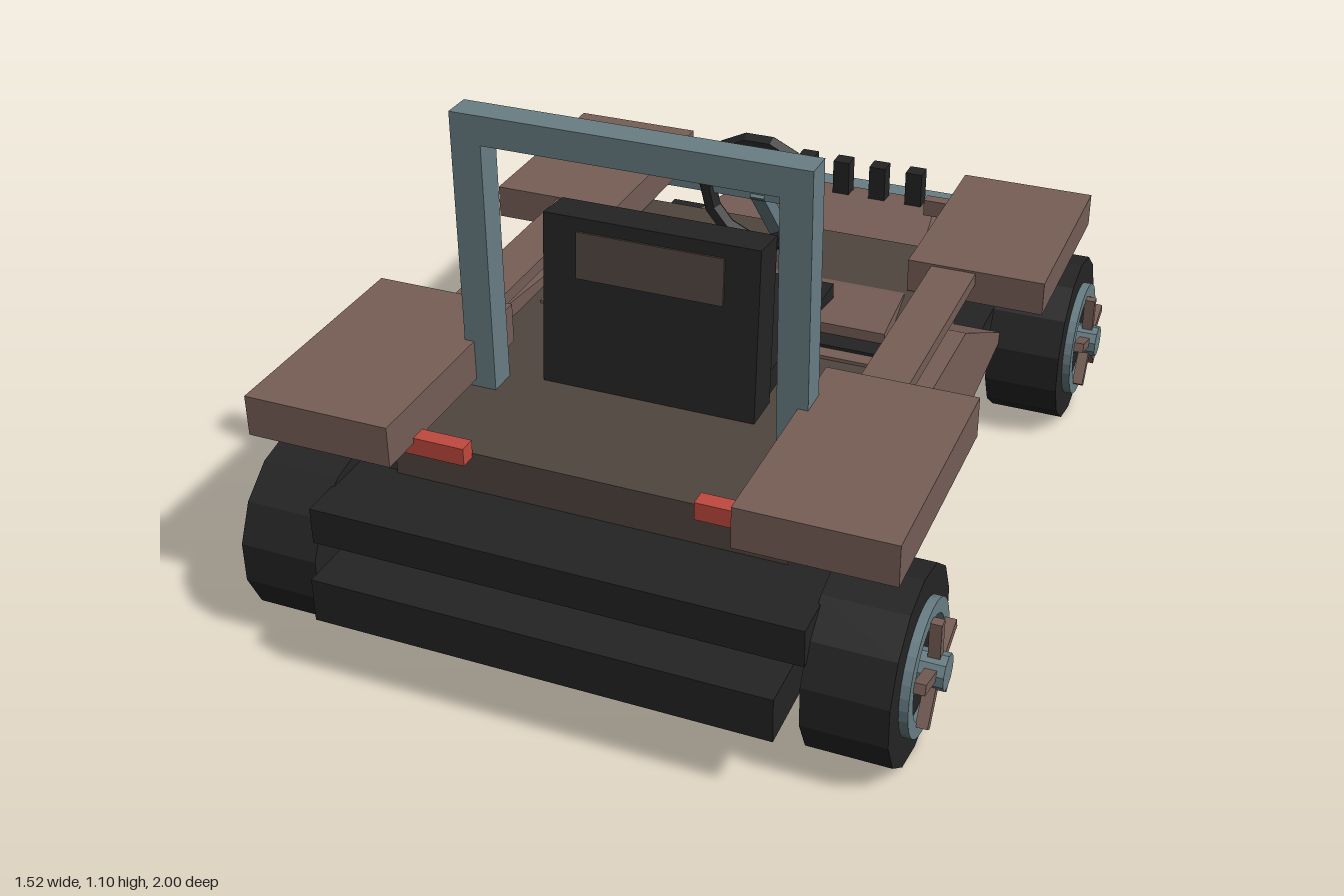
import * as THREE from 'three';

const mat = (name, color) => {
  const m = new THREE.MeshStandardMaterial({ color });
  m.name = name;
  return m;
};

export function createModel() {
  const brown = mat('body brown', 0x765e56);
  const dark = mat('dark brown', 0x50453f);
  const steel = mat('blue steel', 0x687e85);
  const black = mat('black', 0x242424);
  const red = mat('lamp red', 0xc04a3f);
  const model = new THREE.Group();

  const add = (name, geo, material, x = 0, y = 0, z = 0, parent = model) => {
    const m = new THREE.Mesh(geo, material);
    m.name = name;
    m.position.set(x, y, z);
    parent.add(m);
    return m;
  };
  // box given by its min and max on each axis
  const box = (name, material, x0, x1, y0, y1, z0, z1, parent = model) =>
    add(name, new THREE.BoxGeometry(x1 - x0, y1 - y0, z1 - z0), material,
      (x0 + x1) / 2, (y0 + y1) / 2, (z0 + z1) / 2, parent);
  const flat = (geo) => {
    const g = geo.index ? geo.toNonIndexed() : geo;
    g.computeVertexNormals();
    return g;
  };

  // floor, tub and bumpers
  box('chassis', black, -0.495, 0.495, 0.16, 0.26, -0.88, 1);
  box('tub', dark, -0.43, 0.43, 0.26, 0.47, -0.46, 0.75);
  box('rearBumper', black, -0.53, 0.53, 0.295, 0.378, 0.74, 0.93);
  box('frontBumper', steel, -0.53, 0.53, 0.29, 0.357, -1, -0.9);
  box('dashEdge', black, -0.4, 0.4, 0.46, 0.485, 0.04, 0.1);
  box('cockpitSill', brown, -0.4, 0.4, 0.46, 0.478, 0.1, 0.135);

  // hood lofted along z: [z, top y, top half width, bottom y, bottom half width]
  const sections = [
    [-0.965, 0.2, 0.25, 0.19, 0.25],
    [-0.92, 0.37, 0.25, 0.2, 0.25],
    [-0.88, 0.376, 0.255, 0.25, 0.28],
    [-0.46, 0.405, 0.325, 0.25, 0.4],
    [-0.2, 0.475, 0.37, 0.25, 0.42],
    [0.05, 0.51, 0.4, 0.25, 0.425],
  ];
  const n = sections.length - 1;
  const hood = new THREE.BoxGeometry(1, 1, 1, 1, 1, n);
  const hp = hood.attributes.position;
  for (let i = 0; i < hp.count; i++) {
    const [z, yt, ht, yb, hb] = sections[Math.round((hp.getZ(i) + 0.5) * n)];
    const top = hp.getY(i) > 0;
    hp.setXYZ(i, Math.sign(hp.getX(i)) * (top ? ht : hb), top ? yt : yb, z);
  }
  add('hood', flat(hood), brown);

  // grille posts on the nose
  for (let i = -2; i <= 2; i++) {
    box('grillePost', black, i * 0.1 - 0.022, i * 0.1 + 0.022, 0.36, 0.47, -0.895, -0.85);
  }

  // side panel outline in (z, y), flaring outward toward the rear
  const outline = new THREE.Shape([
    [0.57, 0.26], [0.57, 0.34], [0.53, 0.49], [0.34, 0.52], [-0.07, 0.482], [-0.44, 0.285], [-0.44, 0.26],
  ].map(([z, y]) => new THREE.Vector2(-z, y)));
  const panel = new THREE.ExtrudeGeometry(outline, { depth: 0.13, bevelEnabled: false });
  panel.rotateY(Math.PI / 2);
  const pp = panel.attributes.position;
  for (let i = 0; i < pp.count; i++) {
    if (pp.getX(i) > 0.1) pp.setX(i, pp.getX(i) + 0.035 * pp.getZ(i) - 0.04 * (pp.getY(i) - 0.4));
  }
  panel.translate(0.43, 0, 0);
  flat(panel);
  const panelLeft = panel;
  const panelRight = panel.clone();
  // mirrored copy: flip x and reverse the corner order
  const rp = panelRight.attributes.position;
  for (let i = 0; i < rp.count; i += 3) {
    const v = [0, 2, 1].map((k) => new THREE.Vector3().fromBufferAttribute(pp, i + k));
    v.forEach((p, k) => rp.setXYZ(i + k, -p.x, p.y, p.z));
  }
  panelRight.computeVertexNormals();
  add('leftSidePanel', panelLeft, brown);
  add('rightSidePanel', panelRight, brown);

  // parts repeated on both sides
  for (const s of [1, -1]) {
    const side = s > 0 ? 'left' : 'right';
    const sbox = (name, m, x0, x1, ...r) =>
      box(side + name, m, Math.min(s * x0, s * x1), Math.max(s * x0, s * x1), ...r);
    sbox('RearFender', brown, 0.363, 0.69, 0.488, 0.58, 0.34, 0.88);
    sbox('FrontFender', brown, 0.37, 0.69, 0.475, 0.555, -0.72, -0.225);
    sbox('SideRail', brown, 0.425, 0.53, 0.52, 0.55, -0.23, 0.345);
    sbox('NoseBracket', brown, 0.25, 0.405, 0.392, 0.435, -0.812, -0.78);
    sbox('TailLamp', red, 0.25, 0.395, 0.46, 0.5, 0.748, 0.785);
    sbox('RollBarPost', steel, 0.318, 0.385, 0.46, 1.04, 0.45, 0.515);
  }
  box('rollBarTop', steel, -0.385, 0.385, 1.04, 1.105, 0.45, 0.515);

  // seat with a reclined back
  box('seatCushion', black, -0.23, 0.23, 0.42, 0.525, -0.105, 0.37);
  const back = new THREE.Group();
  back.name = 'seatBack';
  back.position.set(0, 0.45, 0.395);
  back.rotation.x = -0.09;
  model.add(back);
  box('backrest', black, -0.242, 0.242, 0, 0.405, -0.046, 0.046, back);
  box('backPad', dark, -0.165, 0.165, 0.27, 0.375, 0.045, 0.051, back);
  box('frontPad', dark, -0.165, 0.165, 0.27, 0.375, -0.051, -0.045, back);

  // steering wheel and column
  const torus = new THREE.TorusGeometry(0.13, 0.022, 6, 14);
  add('steeringWheel', flat(torus), black, 0, 0.66, -0.228);
  box('steeringSpoke', steel, -0.125, 0.125, 0.645, 0.675, -0.238, -0.218);
  const a = new THREE.Vector3(0, 0.665, -0.225);
  const b = new THREE.Vector3(0, 0.39, -0.46);
  const column = add('steeringColumn', new THREE.BoxGeometry(0.035, 0.035, a.distanceTo(b)), steel);
  column.position.copy(a).add(b).multiplyScalar(0.5);
  column.lookAt(a);

  // wheels: built along z, then turned to face outward
  const disc = (r, d, seg) => flat(new THREE.CylinderGeometry(r, r, d, seg).rotateX(Math.PI / 2));
  const ringShape = new THREE.Shape().absarc(0, 0, 0.14, 0, Math.PI * 2);
  ringShape.holes.push(new THREE.Path().absarc(0, 0, 0.108, 0, Math.PI * 2, true));
  const ring = flat(new THREE.ExtrudeGeometry(ringShape, { depth: 0.02, bevelEnabled: false, curveSegments: 16 }));
  for (const z of [0.74, -0.622]) {
    const axle = add('axle', disc(0.027, 1.1, 10), steel, 0, 0.208, z);
    axle.rotation.y = Math.PI / 2;
    for (const s of [1, -1]) {
      const wheel = new THREE.Group();
      wheel.name = (s > 0 ? 'left' : 'right') + (z > 0 ? 'RearWheel' : 'FrontWheel');
      wheel.position.set(s * 0.613, 0.206, z);
      wheel.rotation.y = s * Math.PI / 2;
      model.add(wheel);
      add('tyre', disc(0.204, 0.176, 14), black, 0, 0, 0, wheel);
      add('rim', ring, steel, 0, 0, 0.087, wheel);
      add('hub', disc(0.038, 0.06, 10), steel, 0, 0, 0.115, wheel);
      for (let i = 0; i < 5; i++) {
        const spoke = new THREE.Group();
        spoke.name = 'spoke';
        spoke.rotation.z = i * Math.PI * 2 / 5;
        wheel.add(spoke);
        box('spokeBar', brown, -0.011, 0.011, 0.025, 0.115, 0.105, 0.13, spoke);
      }
    }
  }
  return model;
}
